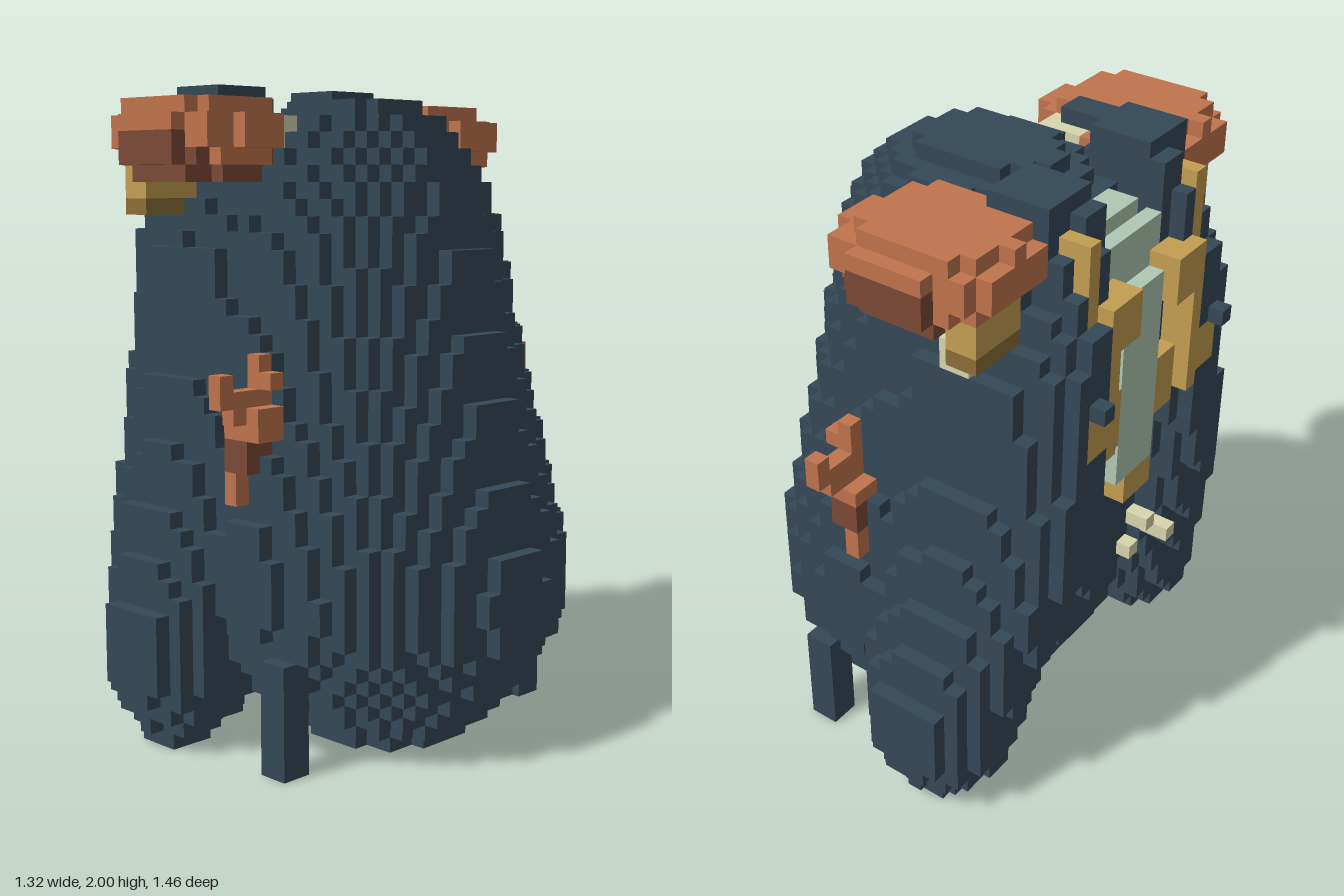
import * as THREE from 'three';

// Voxel grid: 27 x 41 x 30 cells
const S = 2 / 41, NX = 27, NY = 41, NZ = 30;
const px = i => (i + 0.5 - NX / 2) * S;
const py = j => (j + 0.5) * S;
const pz = k => (k + 0.5 - NZ / 2) * S;

const mat = (name, color) => Object.assign(new THREE.MeshStandardMaterial({ color }), { name });

// Interpolated row of a profile table keyed by height
function rowAt(table, y) {
  let n = 1;
  while (n < table.length - 1 && table[n][0] < y) n++;
  const a = table[n - 1], b = table[n];
  const t = THREE.MathUtils.clamp((y - a[0]) / (b[0] - a[0]), 0, 1);
  return a.map((v, m) => v + (b[m] - v) * t);
}
const inOval = (x, z, x0, x1, z0, z1, e) =>
  Math.abs((2 * x - x0 - x1) / (x1 - x0)) ** e + Math.abs((2 * z - z0 - z1) / (z1 - z0)) ** e <= 1;

// Domed body: y, x min, x max, half depth
const BODY = [
  [0.024, -0.08, 0.36, 0.25], [0.073, -0.13, 0.42, 0.3], [0.122, -0.2, 0.48, 0.36], [0.2, -0.32, 0.54, 0.46],
  [0.35, -0.41, 0.638, 0.55], [0.48, -0.44, 0.66, 0.585], [0.63, -0.46, 0.639, 0.58], [0.83, -0.48, 0.588, 0.55],
  [1.07, -0.49, 0.541, 0.49], [1.27, -0.5, 0.492, 0.47], [1.51, -0.5, 0.444, 0.44], [1.71, -0.48, 0.395, 0.375],
  [1.8, -0.42, 0.347, 0.31], [1.85, -0.36, 0.299, 0.265], [1.9, -0.29, 0.238, 0.21], [1.95, -0.21, 0.145, 0.135]];
// Long side lobes: y, x min, x max, z inner, z outer
const ARM = [
  [0.024, -0.33, -0.16, 0.48, 0.64], [0.073, -0.38, -0.11, 0.44, 0.66], [0.122, -0.42, -0.08, 0.39, 0.69],
  [0.2, -0.455, -0.03, 0.32, 0.735], [0.4, -0.49, 0, 0.26, 0.73], [0.56, -0.53, 0.01, 0.22, 0.67],
  [0.82, -0.585, 0.02, 0.2, 0.585], [1, -0.61, 0.04, 0.18, 0.54], [1.2, -0.62, 0.05, 0.14, 0.5],
  [1.5, -0.62, 0.03, 0.14, 0.48], [1.6, -0.61, 0, 0.14, 0.435], [1.7, -0.578, -0.05, 0.14, 0.385],
  [1.82, -0.57, -0.15, 0.14, 0.345], [1.92, -0.51, -0.25, 0.15, 0.33]];
// Pad layers: part, y0, y1, x0, x1, z0, z1
const PAD = [
  ['padShade', 1.71, 1.76, -0.37, -0.03, 0.33, 0.645], ['shoulderPads', 1.76, 1.8, -0.42, 0.03, 0.27, 0.69],
  ['shoulderPads', 1.8, 1.9, -0.475, 0.075, 0.25, 0.69], ['shoulderPads', 1.9, 1.95, -0.44, 0, 0.28, 0.655]];
// Branched side horn boxes: x0, x1, y0, y1, z0, z1
const HORN = [
  [0.02, 0.07, 0.78, 0.88, 0.49, 0.585], [0.02, 0.17, 0.97, 1.02, 0.49, 0.585], [0.07, 0.17, 1.02, 1.07, 0.49, 0.585],
  [0.07, 0.12, 1.02, 1.12, 0.49, 0.63], [0.07, 0.12, 1.07, 1.17, 0.63, 0.685],
  [0.07, 0.17, 1.12, 1.17, 0.49, 0.54], [0.07, 0.12, 1.17, 1.22, 0.49, 0.54]];

export function createModel() {
  const slate = mat('slate', 0x344857), rust = mat('rust', 0xc0744d), brown = mat('brown', 0x7b4a36);
  const gold = mat('gold', 0xc49e53), darkGold = mat('darkGold', 0x8b6d38);
  const sage = mat('sage', 0xb0c9b3), ivory = mat('ivory', 0xd8d5ae);
  const partMaterial = {
    body: slate, sideLobes: slate, topBlocks: slate, shoulderPads: rust, padShade: brown, sideHorns: rust,
    hornShade: brown, goldTrim: gold, hangerTips: darkGold, frontPanel: sage, ivoryTrim: ivory };

  const cells = new Array(NX * NY * NZ).fill(null);
  const at = (i, j, k) => i < 0 || j < 0 || k < 0 || i >= NX || j >= NY || k >= NZ ? null : cells[(i * NY + j) * NZ + k];
  // Fill every cell whose centre passes the test
  function fill(part, test) {
    for (let i = 0; i < NX; i++) for (let j = 0; j < NY; j++) for (let k = 0; k < NZ; k++)
      if (test(px(i), py(j), pz(k))) cells[(i * NY + j) * NZ + k] = part;
  }
  const box = (part, x0, x1, y0, y1, z0, z1) =>
    fill(part, (x, y, z) => x > x0 && x < x1 && y > y0 && y < y1 && z > z0 && z < z1);
  const pair = (part, x0, x1, y0, y1, z0, z1) => {
    box(part, x0, x1, y0, y1, z0, z1);
    box(part, x0, x1, y0, y1, -z1, -z0);
  };

  fill('body', (x, y, z) => {
    const [, x0, x1, d] = rowAt(BODY, y);
    return y < 1.95 && inOval(x, z, x0, x1, -d, d, 1.87);
  });
  fill('sideLobes', (x, y, z) => {
    const [, x0, x1, z0, z1] = rowAt(ARM, y);
    return y < 1.9 && inOval(x, Math.abs(z), x0, x1, z0, z1, 2.3);
  });
  // Hem spikes and small front nubs
  pair('body', 0.17, 0.27, 0, 0.34, 0.49, 0.59);
  pair('sideLobes', -0.66, -0.6, 1.41, 1.47, 0.29, 0.35);
  pair('topBlocks', -0.46, -0.27, 1.8, 2, 0.15, 0.34);
  pair('topBlocks', -0.51, -0.45, 1.8, 1.95, 0.15, 0.245);

  // Front panel and its gold borders
  box('frontPanel', -0.46, -0.36, 1.4, 1.86, -0.1, 0.1);
  box('frontPanel', -0.51, -0.44, 1.2, 1.8, -0.15, 0.15);
  box('frontPanel', -0.56, -0.44, 1.04, 1.66, -0.1, 0.1);
  box('goldTrim', -0.56, -0.46, 0.92, 1.04, -0.05, 0.1);
  pair('goldTrim', -0.61, -0.5, 1.55, 1.71, 0.1, 0.245);
  pair('goldTrim', -0.56, -0.46, 1.15, 1.36, 0.1, 0.2);
  pair('goldTrim', -0.61, -0.5, 1.22, 1.6, 0.19, 0.245);
  pair('goldTrim', -0.56, -0.46, 1.3, 1.9, 0.24, 0.295);
  pair('goldTrim', -0.61, -0.55, 1.25, 1.41, 0.24, 0.345);
  // Small ivory clasp low on the front
  box('ivoryTrim', -0.51, -0.41, 0.58, 0.64, 0.1, 0.15);
  box('ivoryTrim', -0.51, -0.41, 0.63, 0.69, 0.2, 0.25);
  box('ivoryTrim', -0.56, -0.45, 0.58, 0.64, 0.24, 0.295);

  // Shoulder pads with shaded undersides and gold hangers
  for (const [part, y0, y1, ...r] of PAD)
    fill(part, (x, y, z) => y > y0 && y < y1 && inOval(x, Math.abs(z), ...r, 1.95));
  pair('padShade', -0.32, 0, 1.76, 1.8, 0.34, 0.64);
  pair('padShade', -0.32, -0.07, 1.76, 1.85, 0.63, 0.685);
  pair('goldTrim', -0.42, -0.32, 1.66, 1.76, 0.39, 0.59);
  pair('hangerTips', -0.42, -0.32, 1.61, 1.66, 0.39, 0.59);
  box('topBlocks', -0.22, -0.07, 1.8, 1.95, 0.29, 0.39);
  box('ivoryTrim', -0.17, -0.03, 1.85, 1.9, 0.24, 0.29);
  box('ivoryTrim', -0.07, -0.03, 1.8, 1.9, 0.29, 0.34);
  box('ivoryTrim', -0.32, -0.22, 1.61, 1.66, -0.44, -0.39);
  box('ivoryTrim', -0.32, -0.22, 1.51, 1.61, -0.49, -0.44);
  for (const b of HORN) pair('sideHorns', ...b);
  pair('hornShade', 0.02, 0.12, 0.88, 0.97, 0.44, 0.585);

  // Exposed faces of each part become one mesh
  const group = new THREE.Group();
  for (const [name, material] of Object.entries(partMaterial)) {
    const pos = [], nor = [], idx = [];
    for (let i = 0; i < NX; i++) for (let j = 0; j < NY; j++) for (let k = 0; k < NZ; k++) {
      if (at(i, j, k) !== name) continue;
      const c = [px(i), py(j), pz(k)];
      for (let a = 0; a < 3; a++) for (const s of [-1, 1]) {
        const n = [0, 0, 0];
        n[a] = s;
        if (at(i + n[0], j + n[1], k + n[2])) continue;
        const base = pos.length / 3, u = (a + 1) % 3, v = (a + 2) % 3;
        for (const [p, q] of [[-1, -1], [1, -1], [1, 1], [-1, 1]]) {
          const w = [...c];
          w[a] += s * S / 2;
          w[u] += p * s * S / 2;
          w[v] += q * S / 2;
          pos.push(...w);
          nor.push(...n);
        }
        idx.push(base, base + 1, base + 2, base, base + 2, base + 3);
      }
    }
    const g = new THREE.BufferGeometry();
    g.setAttribute('position', new THREE.Float32BufferAttribute(pos, 3));
    g.setAttribute('normal', new THREE.Float32BufferAttribute(nor, 3));
    g.setIndex(idx);
    const mesh = new THREE.Mesh(g, material);
    mesh.name = name;
    group.add(mesh);
  }
  return group;
}
